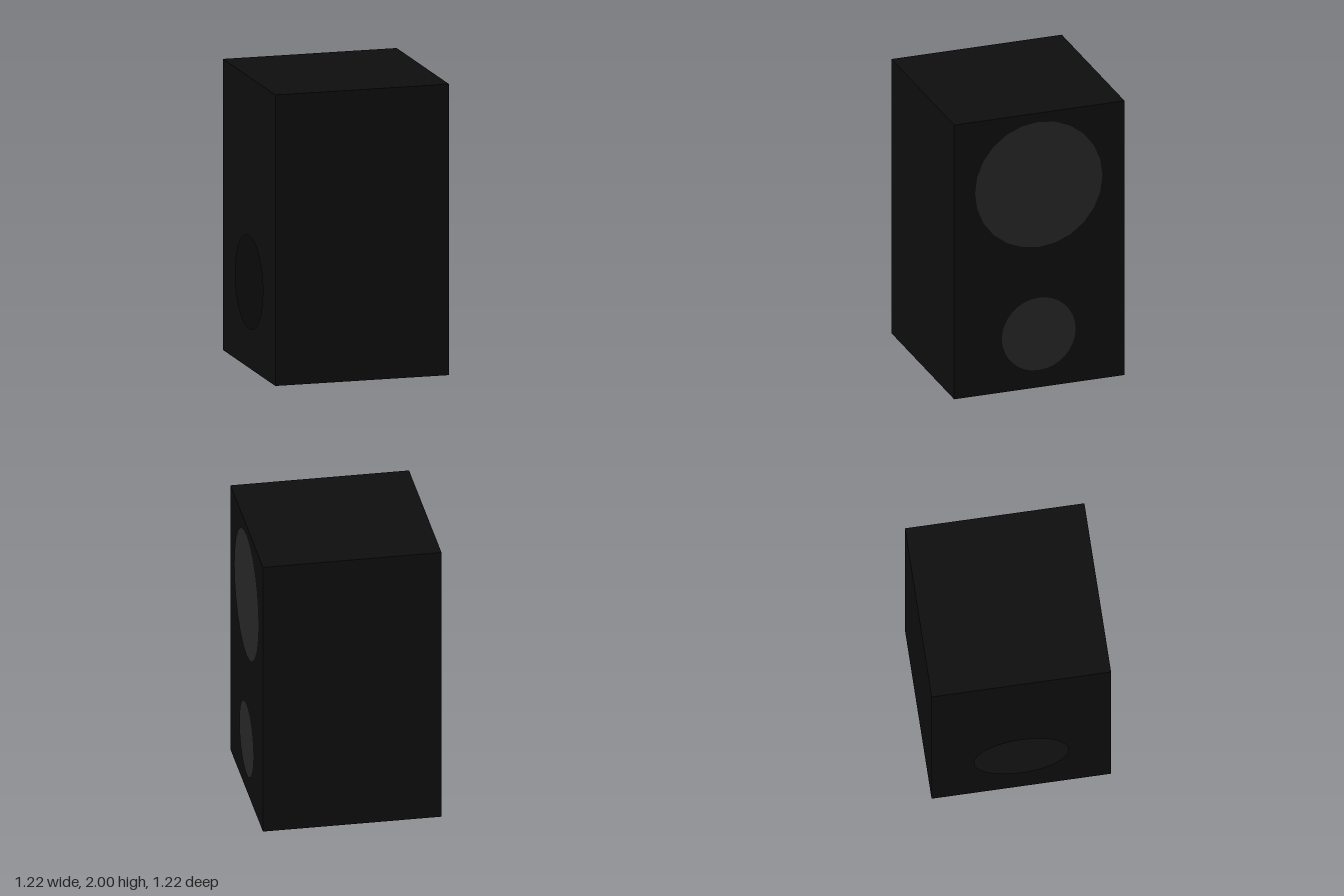
import * as THREE from 'three';

const W = 1.22, H = 2, HALF = W / 2;

export function createModel() {
  const model = new THREE.Group();
  const cabinetMat = new THREE.MeshStandardMaterial({ color: 0x0d0d0d, side: THREE.DoubleSide });
  const driverMat = new THREE.MeshStandardMaterial({ color: 0x262626, side: THREE.DoubleSide });

  const add = (name, geometry, material, position, rotation) => {
    const mesh = new THREE.Mesh(geometry, material);
    mesh.name = name;
    mesh.position.set(...position);
    mesh.rotation.set(...rotation);
    model.add(mesh);
  };

  // Thin upright walls of the hollow cabinet
  const wall = new THREE.PlaneGeometry(W, H);
  add('frontPanel', wall, cabinetMat, [0, H / 2, HALF], [0, 0, 0]);
  add('backPanel', wall, cabinetMat, [0, H / 2, -HALF], [0, Math.PI, 0]);
  add('driverPanel', wall, cabinetMat, [HALF, H / 2, 0], [0, Math.PI / 2, 0]);

  // Top and bottom
  const cap = new THREE.PlaneGeometry(W, W);
  add('topPanel', cap, cabinetMat, [0, H, 0], [-Math.PI / 2, 0, 0]);
  add('bottomPanel', cap, cabinetMat, [0, 0, 0], [Math.PI / 2, 0, 0]);

  // Wall with the round port opening into the cabinet
  const portWall = new THREE.Shape([
    new THREE.Vector2(-HALF, 0), new THREE.Vector2(HALF, 0),
    new THREE.Vector2(HALF, H), new THREE.Vector2(-HALF, H),
  ]);
  portWall.holes.push(new THREE.Path().absarc(0, 0.59, 0.32, 0, Math.PI * 2, true));
  add('portPanel', new THREE.ShapeGeometry(portWall, 32), cabinetMat, [-HALF, 0, 0], [0, -Math.PI / 2, 0]);

  // Flat speaker drivers, just proud of their wall
  for (const [name, y, radius, sides] of [['largeDriver', 1.48, 0.456, 24], ['smallDriver', 0.39, 0.264, 32]]) {
    add(name, new THREE.CircleGeometry(radius, sides), driverMat, [HALF + 0.002, y, 0.005], [0, Math.PI / 2, 0]);
  }

  return model;
}
